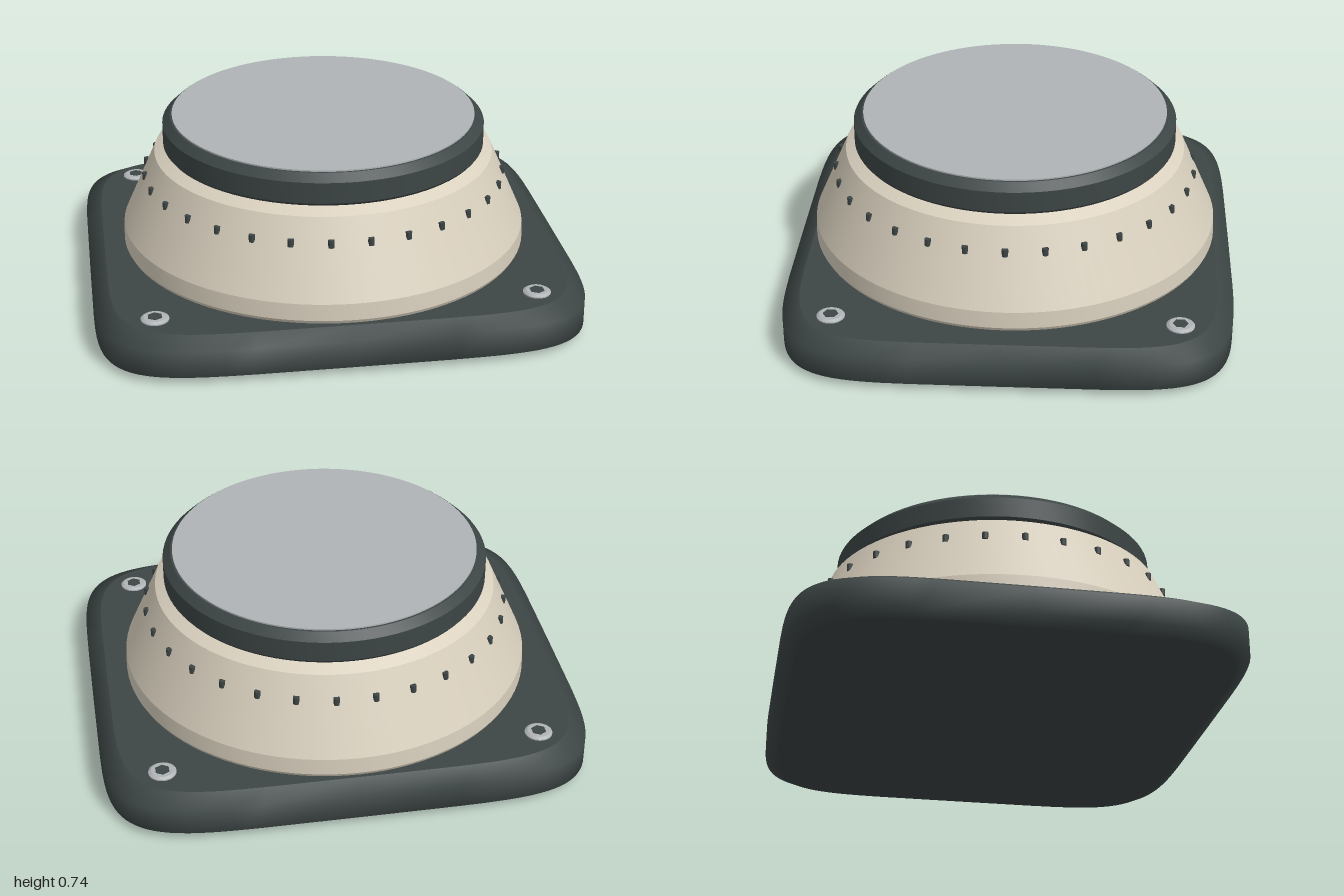
import * as THREE from 'three';
import { toCreasedNormals } from 'three/addons/utils/BufferGeometryUtils.js';

const material = (name, color) => {
  const m = new THREE.MeshStandardMaterial({ color });
  m.name = name;
  return m;
};

// Turned part from a bottom-to-top profile of [radius, y], with sharp bands
function turned(profile, segments = 96) {
  const points = profile.map(([r, y]) => new THREE.Vector2(r, y));
  return toCreasedNormals(new THREE.LatheGeometry(points, segments), 0.3);
}

// Squarish superellipse slab: layers are [inset, y], sides smooth, caps flat
function slab(halfX, halfZ, power, layers, segments = 96) {
  const positions = [], index = [];
  const signedPow = (v) => Math.sign(v) * Math.pow(Math.abs(v), 2 / power);
  const ring = ([inset, y]) => {
    const start = positions.length / 3;
    for (let i = 0; i < segments; i++) {
      const t = (i / segments) * Math.PI * 2;
      positions.push((halfX - inset) * signedPow(Math.cos(t)), y, (halfZ - inset) * signedPow(Math.sin(t)));
    }
    return start;
  };
  const starts = layers.map(ring);
  for (let k = 0; k + 1 < starts.length; k++) {
    for (let i = 0; i < segments; i++) {
      const j = (i + 1) % segments, a = starts[k], b = starts[k + 1];
      index.push(a + i, b + i, a + j, a + j, b + i, b + j);
    }
  }
  for (const [layer, up] of [[layers[0], false], [layers[layers.length - 1], true]]) {
    const start = ring(layer), centre = positions.length / 3;
    positions.push(0, layer[1], 0);
    for (let i = 0; i < segments; i++) {
      const a = start + i, b = start + (i + 1) % segments;
      index.push(centre, up ? b : a, up ? a : b);
    }
  }
  const geometry = new THREE.BufferGeometry();
  geometry.setAttribute('position', new THREE.Float32BufferAttribute(positions, 3));
  geometry.setIndex(index);
  geometry.computeVertexNormals();
  return geometry;
}

export function createModel() {
  const model = new THREE.Group();
  model.name = 'roundDial';
  const dark = material('charcoal', 0x3d4545);
  const cream = material('cream', 0xd9d0be);
  const grey = material('lightGrey', 0xb0b4b7);

  const add = (name, geometry, mat, parent = model) => {
    const mesh = new THREE.Mesh(geometry, mat);
    mesh.name = name;
    parent.add(mesh);
    return mesh;
  };

  // Base plate with chamfered edges
  add('basePlate', slab(1, 0.915, 6, [[0.05, 0], [0, 0.03], [0, 0.14], [0.065, 0.18]]), dark);

  // Conical housing
  add('housing', turned([
    [0, 0.185], [0.84, 0.185], [0.848, 0.2], [0.845, 0.27], [0.708, 0.58], [0.655, 0.61], [0, 0.61],
  ]), cream);

  // Dark rim and the flat disc on top
  add('rim', turned([
    [0, 0.605], [0.66, 0.605], [0.67, 0.618], [0.67, 0.705], [0.638, 0.735], [0, 0.735],
  ]), dark);
  add('topDisc', turned([[0.63, 0.733], [0.63, 0.741], [0, 0.741]]), grey);

  // Ring of small index pegs around the cone
  const pegs = new THREE.Group();
  pegs.name = 'indexPegs';
  model.add(pegs);
  const pegGeometry = new THREE.CylinderGeometry(0.013, 0.013, 0.03, 10);
  for (let i = 0; i < 30; i++) {
    const a = (i / 30) * Math.PI * 2;
    const peg = add('indexPeg', pegGeometry, dark, pegs);
    peg.position.set(Math.cos(a) * 0.75, 0.485, Math.sin(a) * 0.75);
    peg.rotation.y = -a;
  }

  // Corner screws with hexagonal sockets
  const headGeometry = turned([[0.056, 0.178], [0.056, 0.185], [0.045, 0.192], [0, 0.192]], 32);
  const socketGeometry = new THREE.CylinderGeometry(0.031, 0.031, 0.004, 6);
  for (const x of [-0.765, 0.765]) {
    for (const z of [-0.69, 0.69]) {
      const screw = new THREE.Group();
      screw.name = 'cornerScrew';
      screw.position.set(x, 0, z);
      model.add(screw);
      add('screwHead', headGeometry, grey, screw);
      add('screwSocket', socketGeometry, dark, screw).position.y = 0.1915;
    }
  }
  return model;
}
